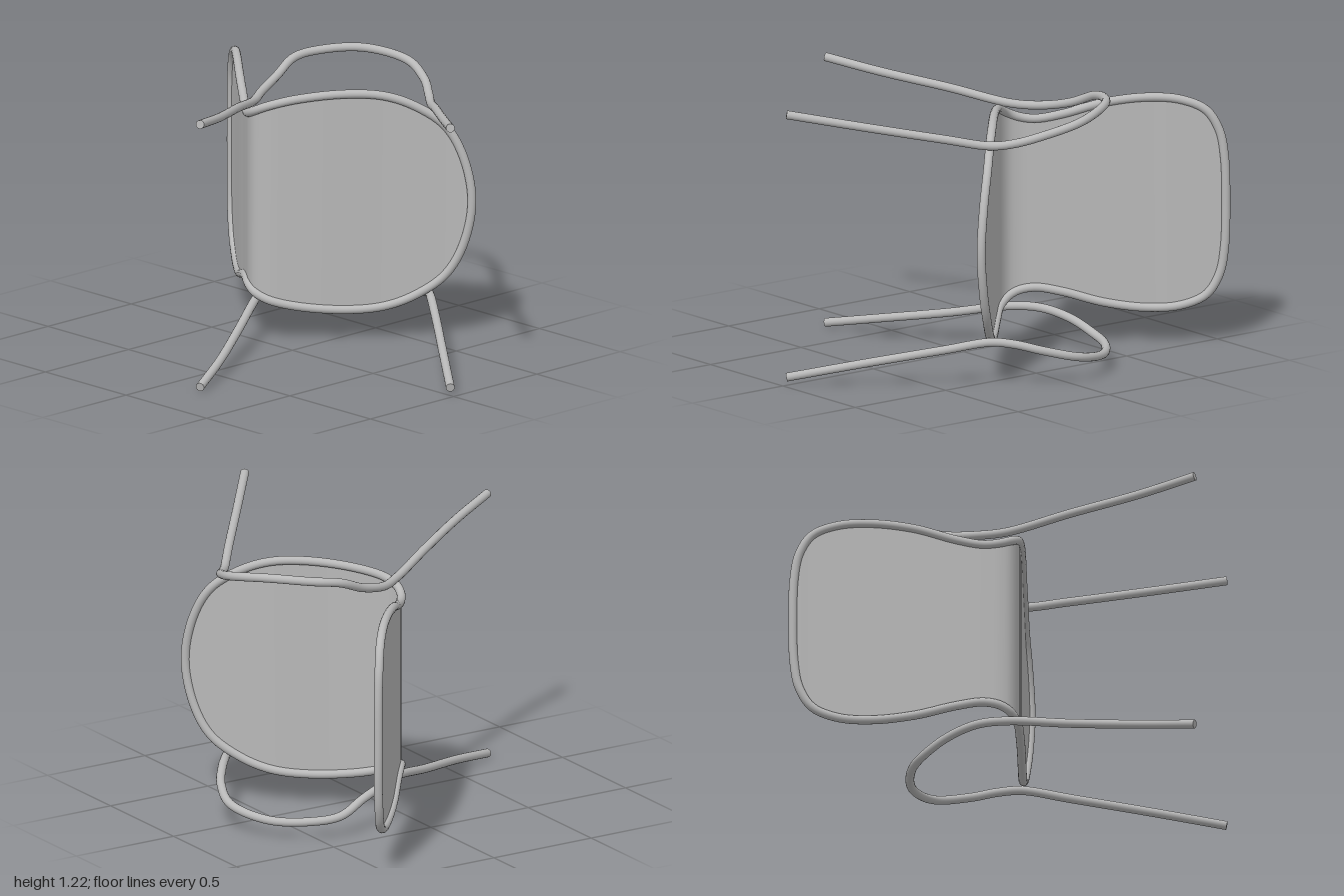
import * as THREE from 'three';

const grey = new THREE.MeshStandardMaterial({ color: 0xb8b8b8, side: THREE.DoubleSide });
grey.name = 'grey';

const RADIUS = 0.019;

// The chair lies on its side: h is the distance from its middle plane, slightly tilted.
const place = (x, h, z) => new THREE.Vector3(x, 0.626 - 0.014 * z + h, z);

function addMesh(group, geometry, name) {
  const mesh = new THREE.Mesh(geometry, grey);
  mesh.name = name;
  group.add(mesh);
  return mesh;
}

// Half outline of the bent shell, from top of the backrest to front of the seat: x, h, z
const outline = [
  [-0.982, 0, -0.583], [-0.977, 0.2, -0.58], [-0.96, 0.32, -0.565], [-0.915, 0.41, -0.53],
  [-0.83, 0.457, -0.46], [-0.72, 0.467, -0.365], [-0.58, 0.444, -0.245], [-0.44, 0.395, -0.133],
  [-0.35, 0.375, -0.06], [-0.29, 0.385, -0.018], [-0.24, 0.407, -0.005], [-0.18, 0.435, -0.028],
  [-0.09, 0.465, -0.115], [0.05, 0.484, -0.27], [0.16, 0.472, -0.395], [0.25, 0.425, -0.493],
  [0.34, 0.335, -0.588], [0.40, 0.2, -0.638], [0.432, 0, -0.66],
];

// Wire on one side: back foot, up around the armrest, down to the front foot: x, h, z
const wire = [
  [0.18, 0.59, 0.73], [0.06, 0.547, 0.495], [-0.1, 0.5, 0.23], [-0.25, 0.45, -0.015],
  [-0.325, 0.45, -0.13], [-0.375, 0.48, -0.27], [-0.40, 0.53, -0.4], [-0.362, 0.545, -0.52],
  [-0.24, 0.55, -0.66], [-0.05, 0.52, -0.735], [0.11, 0.477, -0.685], [0.21, 0.446, -0.615],
  [0.29, 0.436, -0.55], [0.45, 0.468, -0.425], [0.72, 0.525, -0.208], [0.98, 0.583, 0.0],
];

function shellGeometry(curve, rows = 120) {
  const positions = [], index = [];
  for (let i = 0; i <= rows; i++) {
    const t = i / rows / 2;
    for (const p of [curve.getPoint(t), curve.getPoint((1 - t) % 1)]) positions.push(p.x, p.y, p.z);
    if (i < rows) {
      const a = i * 2;
      index.push(a, a + 1, a + 2, a + 1, a + 3, a + 2);
    }
  }
  const geometry = new THREE.BufferGeometry();
  geometry.setAttribute('position', new THREE.Float32BufferAttribute(positions, 3));
  geometry.setIndex(index);
  geometry.computeVertexNormals();
  return geometry;
}

function buildWire(side, name) {
  const group = new THREE.Group();
  group.name = name;
  const curve = new THREE.CatmullRomCurve3(wire.map(([x, h, z]) => place(x, h * side, z)));
  addMesh(group, new THREE.TubeGeometry(curve, 160, RADIUS, 16), 'legAndArmWire');
  // flat caps on the feet
  for (const [t, sign] of [[0, -1], [1, 1]]) {
    const cap = addMesh(group, new THREE.CircleGeometry(RADIUS, 16), 'footCap');
    cap.position.copy(curve.getPoint(t));
    const outward = curve.getTangent(t).multiplyScalar(sign);
    cap.quaternion.setFromUnitVectors(new THREE.Vector3(0, 0, 1), outward);
  }
  return group;
}

export function createModel() {
  const model = new THREE.Group();
  model.name = 'chair';

  // shell and its rim share one closed outline
  const mirrored = outline.slice(1, -1).reverse().map(([x, h, z]) => [x, -h, z]);
  const rim = new THREE.CatmullRomCurve3([...outline, ...mirrored].map((p) => place(...p)), true);
  addMesh(model, shellGeometry(rim), 'seatAndBackrest');
  addMesh(model, new THREE.TubeGeometry(rim, 240, RADIUS, 16, true), 'rim');

  model.add(buildWire(1, 'upperWire'), buildWire(-1, 'lowerWire'));
  return model;
}
